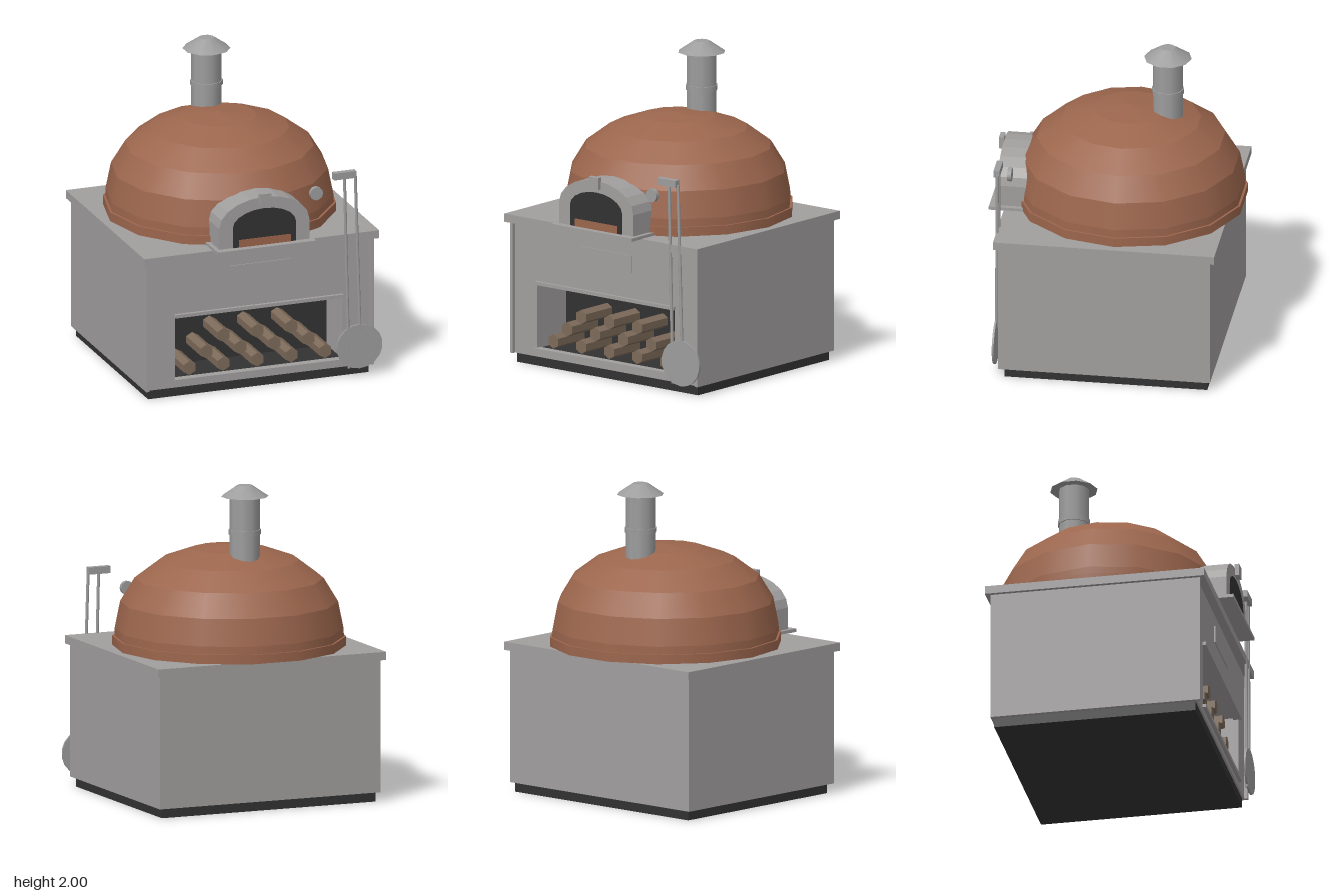
import * as THREE from 'three';

const mat = (name, color, flatShading = false) => {
  const m = new THREE.MeshStandardMaterial({ color, flatShading });
  m.name = name;
  return m;
};

export function createModel() {
  const stone = mat('stone grey', 0xa19e9e);
  const steel = mat('steel grey', 0x9d9d9d);
  const clay = mat('terracotta', 0x9c664d);
  const dark = mat('charcoal', 0x323232);
  const wood = mat('log brown', 0x7c6a59, true);

  const model = new THREE.Group();
  model.name = 'pizzaOven';
  const CX = -0.009;

  const add = (name, geo, material, x = 0, y = 0, z = 0, parent = model) => {
    const m = new THREE.Mesh(geo, material);
    m.name = name;
    m.position.set(x, y, z);
    parent.add(m);
    return m;
  };
  // Box from its minimum and maximum on each axis
  const box = (name, material, x0, x1, y0, y1, z0, z1) =>
    add(name, new THREE.BoxGeometry(x1 - x0, y1 - y0, z1 - z0), material,
      (x0 + x1) / 2, (y0 + y1) / 2, (z0 + z1) / 2);
  const points = (list) => list.map(([x, y]) => new THREE.Vector2(x, y));

  // Stand: plinth, rear block, side panels and worktop
  box('plinth', dark, -0.744, 0.724, 0, 0.06, -0.66, 0.62);
  box('standBody', stone, -0.748, 0.726, 0.06, 0.9, -0.68, 0.34);
  box('rightPanel', stone, -0.769, -0.748, 0.06, 0.9, -0.68, 0.655);
  box('leftPanel', stone, 0.726, 0.748, 0.06, 0.9, -0.68, 0.655);
  box('worktop', stone, -0.793, 0.771, 0.9, 0.952, -0.71, 0.685);

  // Recessed front of the stand with the log store cut out
  const front = new THREE.Shape(points([[-0.748, 0.06], [0.726, 0.06], [0.726, 0.9], [-0.748, 0.9]]));
  front.holes.push(new THREE.Path(points([[-0.57, 0.105], [-0.57, 0.535], [0.548, 0.535], [0.548, 0.105]])));
  add('standFront', new THREE.ExtrudeGeometry(front, { depth: 0.292, bevelEnabled: false }), stone, 0, 0, 0.34);
  box('frontPlate', stone, -0.21, 0.2, 0.71, 0.82, 0.632, 0.639);
  box('storeBack', dark, -0.57, 0.548, 0.105, 0.535, 0.34, 0.349);
  box('storeFloor', dark, -0.57, 0.548, 0.105, 0.112, 0.34, 0.625);
  box('storeLintel', stone, -0.575, 0.551, 0.523, 0.545, 0.6, 0.654);
  box('storeSill', stone, -0.575, 0.551, 0.095, 0.117, 0.6, 0.654);

  // Stacked logs, one fewer in each row
  const logGeo = new THREE.CylinderGeometry(0.046, 0.046, 0.26, 6).rotateX(Math.PI / 2);
  for (let row = 0; row < 3; row++) {
    for (let i = 0; i < 5 - row; i++) {
      add('log', logGeo, wood, -0.462 + row * 0.113 + i * 0.226, 0.167 + row * 0.095, 0.475);
    }
  }

  // Dome in fourteen-sided bands, smooth around and creased between, on a base ring
  const dome = new THREE.Group();
  dome.name = 'dome';
  dome.position.set(CX, 0, -0.07);
  model.add(dome);
  const profile = [[0.718, 0.952], [0.714, 1.06], [0.68, 1.23], [0.59, 1.378],
    [0.437, 1.492], [0.232, 1.565], [0, 1.587]];
  for (let i = 0; i < profile.length - 1; i++) {
    const [r0, y0] = profile[i];
    const [r1, y1] = profile[i + 1];
    add('domeBand', new THREE.CylinderGeometry(r1, r0, y1 - y0, 14, 1, true, Math.PI / 2),
      clay, 0, (y0 + y1) / 2, 0, dome);
  }
  add('domeRing', new THREE.CylinderGeometry(0.73, 0.73, 0.058, 14, 1, false, Math.PI / 2),
    clay, 0, 0.981, 0, dome);

  // Arched mouth
  const arch = (rx, ry, spring) => {
    const list = [[rx, 0.952]];
    for (let i = 0; i <= 10; i++) {
      const a = (i / 10) * Math.PI;
      list.push([rx * Math.cos(a), spring + ry * Math.sin(a)]);
    }
    list.push([-rx, 0.952]);
    return points(list);
  };
  const extrudeArch = (list, depth) =>
    new THREE.ExtrudeGeometry(new THREE.Shape(list), { depth, bevelEnabled: false });
  const opening = arch(0.21, 0.11, 1.1);
  add('mouthArch', extrudeArch([...arch(0.3, 0.178, 1.107), ...[...opening].reverse()], 0.19),
    stone, CX - 0.002, 0, 0.54);
  add('mouthOpening', extrudeArch(opening, 0.008), dark, CX - 0.002, 0, 0.726);
  box('hearthEdge', clay, -0.181, 0.163, 0.971, 1.02, 0.73, 0.737);
  box('mouthSill', stone, -0.338, 0.318, 0.95, 0.971, 0.52, 0.78);
  box('keystone', stone, -0.048, 0.026, 1.235, 1.312, 0.728, 0.758);

  // Chimney with collar and cap, all ten-sided
  const CZ = -0.302;
  add('chimneyPipe', new THREE.CylinderGeometry(0.095, 0.095, 0.46, 10), steel, CX, 1.71, CZ);
  add('chimneyCollar', new THREE.CylinderGeometry(0.102, 0.102, 0.032, 10), steel, CX, 1.705, CZ);
  add('chimneyCap', new THREE.CylinderGeometry(0.048, 0.15, 0.07, 10), steel, CX, 1.965, CZ);

  // Thermometer
  add('thermometer', new THREE.CylinderGeometry(0.043, 0.043, 0.026, 12).rotateX(Math.PI / 2),
    steel, 0.368, 1.231, 0.638);

  // Leaning tools: a rake and a round peel
  const pole = (name, x0, y0, x1, y1) => {
    const len = Math.hypot(x1 - x0, y1 - y0);
    const m = add(name, new THREE.CylinderGeometry(0.01, 0.01, len, 8), steel,
      (x0 + x1) / 2, (y0 + y1) / 2, 0.681);
    m.rotation.z = -Math.atan2(x1 - x0, y1 - y0);
  };
  pole('rakeHandle', 0.571, 0.065, 0.541, 1.34);
  pole('peelHandle', 0.645, 0.3, 0.613, 1.34);
  box('rakeHead', steel, 0.464, 0.612, 1.325, 1.37, 0.668, 0.706);
  add('peelBlade', new THREE.CylinderGeometry(0.152, 0.152, 0.012, 18).rotateX(Math.PI / 2),
    steel, 0.64, 0.203, 0.684).scale.y = 0.96;

  return model;
}
